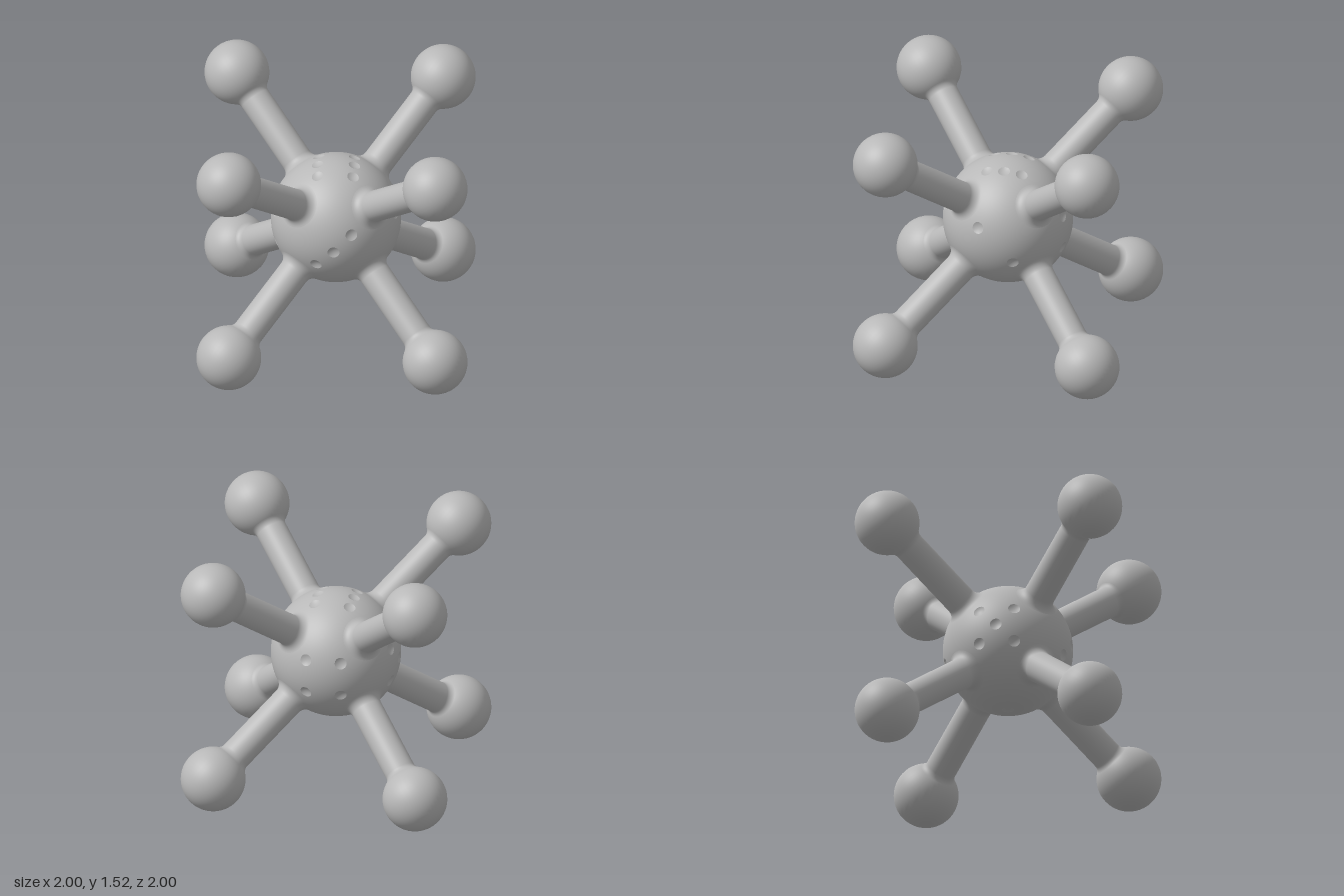
import * as THREE from 'three';

const R = 0.365;          // body radius
const BALL = 0.182;       // end ball radius
const ROD = 0.088;        // arm radius
const REACH = 1.0017;     // body centre to ball centre
const PIP = 0.092;        // angular radius of a pip
const DEPTH = 0.01;       // pip depth
const STEP = 0.297;       // pip spacing on a face of the unit cube
const N = 8;              // subdivisions per cell edge

// Collects curved patches: f(s, t) returns [position, normal], s x t points outward
function patchBuilder() {
  const pos = [], nor = [], idx = [];
  return {
    add(f, ns, nt) {
      const base = pos.length / 3;
      for (let j = 0; j <= nt; j++) {
        for (let i = 0; i <= ns; i++) {
          const [p, n] = f(i / ns, j / nt);
          pos.push(p.x, p.y, p.z);
          nor.push(n.x, n.y, n.z);
        }
      }
      for (let j = 0; j < nt; j++) {
        for (let i = 0; i < ns; i++) {
          const a = base + j * (ns + 1) + i, b = a + 1, c = a + ns + 1, d = c + 1;
          idx.push(a, b, d, a, d, c);
        }
      }
    },
    build() {
      const g = new THREE.BufferGeometry();
      g.setAttribute('position', new THREE.Float32BufferAttribute(pos, 3));
      g.setAttribute('normal', new THREE.Float32BufferAttribute(nor, 3));
      g.setIndex(idx);
      return g;
    },
  };
}

const vec = (a) => new THREE.Vector3(...a);

// Cube faces: outward normal, u axis, pip places in a 3 x 3 layout
const corners = [[-1, -1], [-1, 1], [1, -1], [1, 1]];
const faces = [
  { n: [0, 0, 1], u: [1, 0, 0], pips: [[-1, 1], [1, -1]] },
  { n: [-1, 0, 0], u: [0, 0, 1], pips: [[1, 1], [0, 0], [-1, -1]] },
  { n: [1, 0, 0], u: [0, 0, -1], pips: corners },
  { n: [0, 0, -1], u: [-1, 0, 0], pips: [...corners, [0, 0]] },
  { n: [0, 1, 0], u: [1, 0, 0], pips: [...corners, [0, 1], [0, -1]] },
  { n: [0, -1, 0], u: [1, 0, 0], pips: [[0, 0]] },
];

// Point on the outline of a square, walked counter-clockwise, s in 0..1
function squarePoint(s) {
  const side = Math.min(3, Math.floor(s * 4));
  const k = (s * 4 - side) * 2 - 1;
  return [[1, k], [-k, 1], [-1, -k], [k, -1]][side];
}

// Sphere split into cube-face cells, with a round dimple in each pip cell
function bodyGeometries() {
  const skin = patchBuilder(), dimples = patchBuilder();
  const edges = [-1, -1.5 * STEP, -0.5 * STEP, 0.5 * STEP, 1.5 * STEP, 1];
  for (const face of faces) {
    const n = vec(face.n), u = vec(face.u), v = n.clone().cross(u);
    const dir = (a, b) => n.clone().addScaledVector(u, a).addScaledVector(v, b).normalize();
    const onBody = (d) => [d.clone().multiplyScalar(R), d];
    for (let i = 0; i < 5; i++) {
      for (let j = 0; j < 5; j++) {
        if (!face.pips.some(([a, b]) => a === i - 2 && b === j - 2)) {
          const { lerp } = THREE.MathUtils;
          skin.add((s, t) => onBody(dir(lerp(edges[i], edges[i + 1], s), lerp(edges[j], edges[j + 1], t))), N, N);
          continue;
        }
        const cu = (i - 2) * STEP, cv = (j - 2) * STEP, c = dir(cu, cv);
        const outer = (s) => {
          const [a, b] = squarePoint(s);
          return dir(cu + a * STEP / 2, cv + b * STEP / 2);
        };
        const tangent = (s) => {
          const p = outer(s);
          return p.addScaledVector(c, -p.dot(c)).normalize();
        };
        const around = (s, angle) =>
          c.clone().multiplyScalar(Math.cos(angle)).addScaledVector(tangent(s), Math.sin(angle));
        // Surface between the cell outline and the pip rim
        skin.add((s, t) => onBody(outer(s).lerp(around(s, PIP), t).normalize()), 4 * N, 4);
        // Concave bowl
        dimples.add((s, t) => {
          const k = 1 - t, d = around(s, PIP * k), out = around(s, PIP * k + Math.PI / 2);
          const normal = d.clone().multiplyScalar(R).addScaledVector(out, -2 * DEPTH * k / PIP).normalize();
          return [d.multiplyScalar(R - DEPTH * (1 - k * k)), normal];
        }, 4 * N, 5);
      }
    }
  }
  return [skin.build(), dimples.build()];
}

// Arm profile: straight rod with a fillet tangent to the body and the ball
function armGeometry() {
  const fillet = (radius, f) => {
    const x = ROD + f, y = Math.sqrt((radius + f) ** 2 - x * x);
    const end = Math.atan2(y, x);
    return Array.from({ length: 9 }, (_, i) => {
      const a = end * (1 - i / 8);
      return new THREE.Vector2(x - f * Math.cos(a), y - f * Math.sin(a));
    });
  };
  const top = fillet(BALL, 0.045).reverse().map((p) => new THREE.Vector2(p.x, REACH - p.y));
  return new THREE.LatheGeometry([...fillet(R, 0.055), ...top], 40);
}

export function createModel() {
  const model = new THREE.Group();
  model.name = 'spikedDie';
  const grey = new THREE.MeshStandardMaterial({ color: 0xb8b8b8 });
  grey.name = 'grey';
  const add = (geometry, name, parent) => {
    const mesh = new THREE.Mesh(geometry, grey);
    mesh.name = name;
    parent.add(mesh);
    return mesh;
  };

  const [skin, dimples] = bodyGeometries();
  add(skin, 'body', model);
  add(dimples, 'pips', model);

  // One arm and ball toward each cube corner
  const arm = armGeometry(), ball = new THREE.SphereGeometry(BALL, 40, 28);
  const up = new THREE.Vector3(0, 1, 0);
  for (const x of [-1, 1]) for (const y of [-1, 1]) for (const z of [-1, 1]) {
    const limb = new THREE.Group();
    limb.name = 'limb';
    limb.quaternion.setFromUnitVectors(up, new THREE.Vector3(x, y, z).normalize());
    add(arm, 'arm', limb);
    add(ball, 'ball', limb).position.y = REACH;
    model.add(limb);
  }

  model.rotation.y = Math.PI / 4;
  model.position.y = REACH / Math.sqrt(3) + BALL;
  return model;
}
